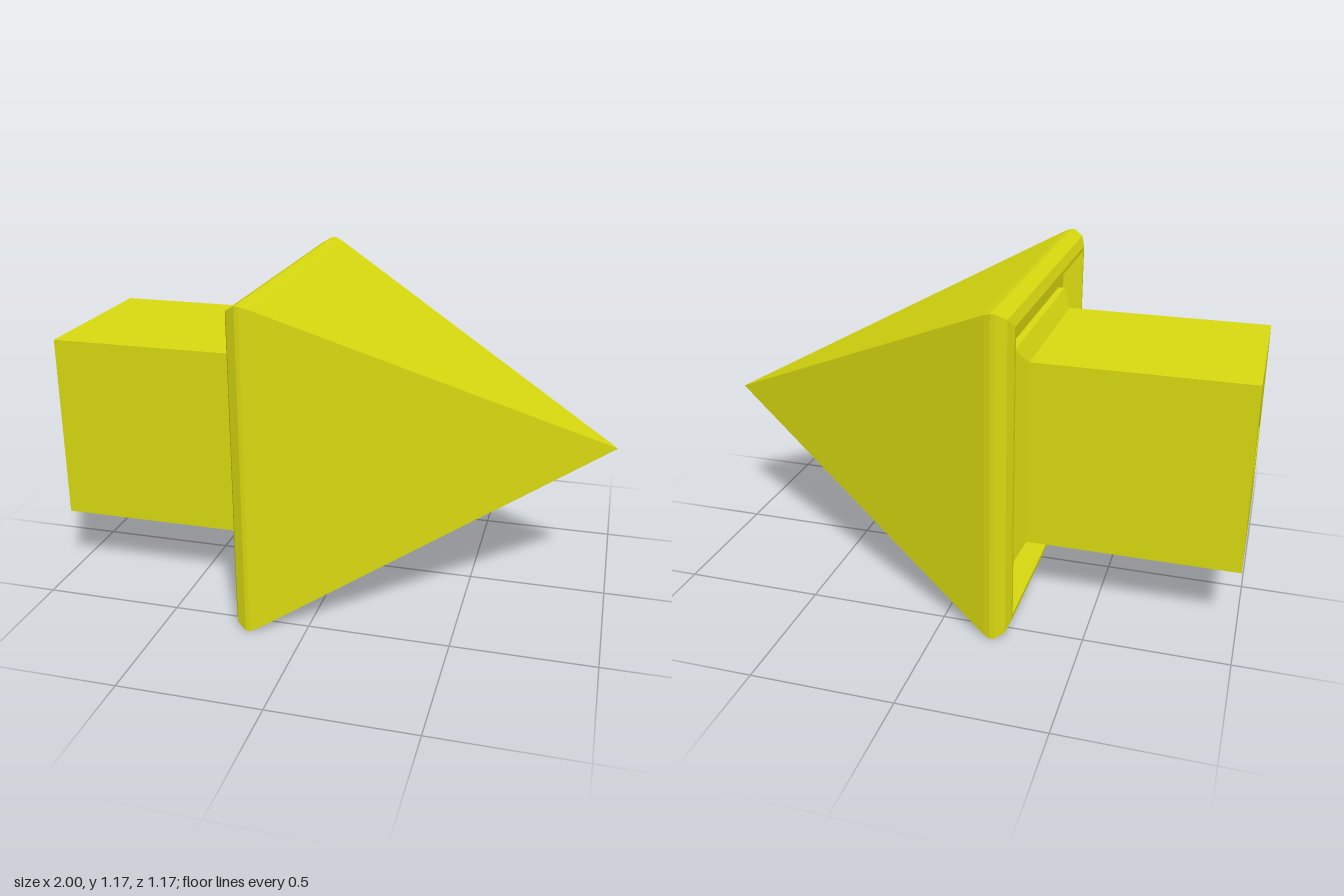
import * as THREE from 'three';

const SQUARE = [[1, 1], [-1, 1], [-1, -1], [1, -1]]; // z, y factors of the corners
const DIAMOND = [[0, 1], [-1, 0], [0, -1], [1, 0]];

// Skins four-cornered rings, given as [x, halfZ, halfY, corners], from +x towards -x
function loft(name, rings, material) {
  const pos = [];
  const corner = ([x, hz, hy = hz, shape = SQUARE], k) => {
    const [z, y] = shape[k % 4];
    return [x, y * hy, z * hz];
  };
  for (let i = 0; i < rings.length - 1; i++) {
    const a = rings[i], b = rings[i + 1];
    for (let k = 0; k < 4; k++) {
      const a0 = corner(a, k), a1 = corner(a, k + 1);
      const b0 = corner(b, k), b1 = corner(b, k + 1);
      if (a[1] > 0) pos.push(...a0, ...a1, ...b0);
      if (b[1] > 0) pos.push(...a1, ...b1, ...b0);
    }
  }
  const geometry = new THREE.BufferGeometry();
  geometry.setAttribute('position', new THREE.Float32BufferAttribute(pos, 3));
  geometry.computeVertexNormals();
  const mesh = new THREE.Mesh(geometry, material);
  mesh.name = name;
  return mesh;
}

export function createModel() {
  const group = new THREE.Group();
  group.name = 'arrow';
  const yellow = new THREE.MeshStandardMaterial({ color: 0xd8d810, flatShading: true });

  // Pyramid head with a rounded rim and a recessed back
  const head = loft('arrowHead', [
    [1, 0],
    [-0.15, 0.567],
    [-0.17, 0.576],
    [-0.19, 0.583],
    [-0.205, 0.583],
    [-0.24, 0.563],
    [-0.255, 0.53],
    [-0.255, 0.515],
    [-0.19, 0.46],
    [-0.19, 0.37],
  ], yellow);

  // Square shaft with a flared collar and a tapered diamond socket in its end
  const shaft = loft('shaft', [
    [-0.19, 0.375, 0.4],
    [-0.215, 0.375, 0.4],
    [-0.25, 0.315, 0.34],
    [-1, 0.315, 0.34],
    [-1, 0.16, 0.17, DIAMOND],
    [-0.945, 0.083, 0.088, DIAMOND],
    [-0.945, 0, 0, DIAMOND],
  ], yellow);

  group.add(head, shaft);
  group.children.forEach((part) => { part.position.y = 0.583; });
  return group;
}
